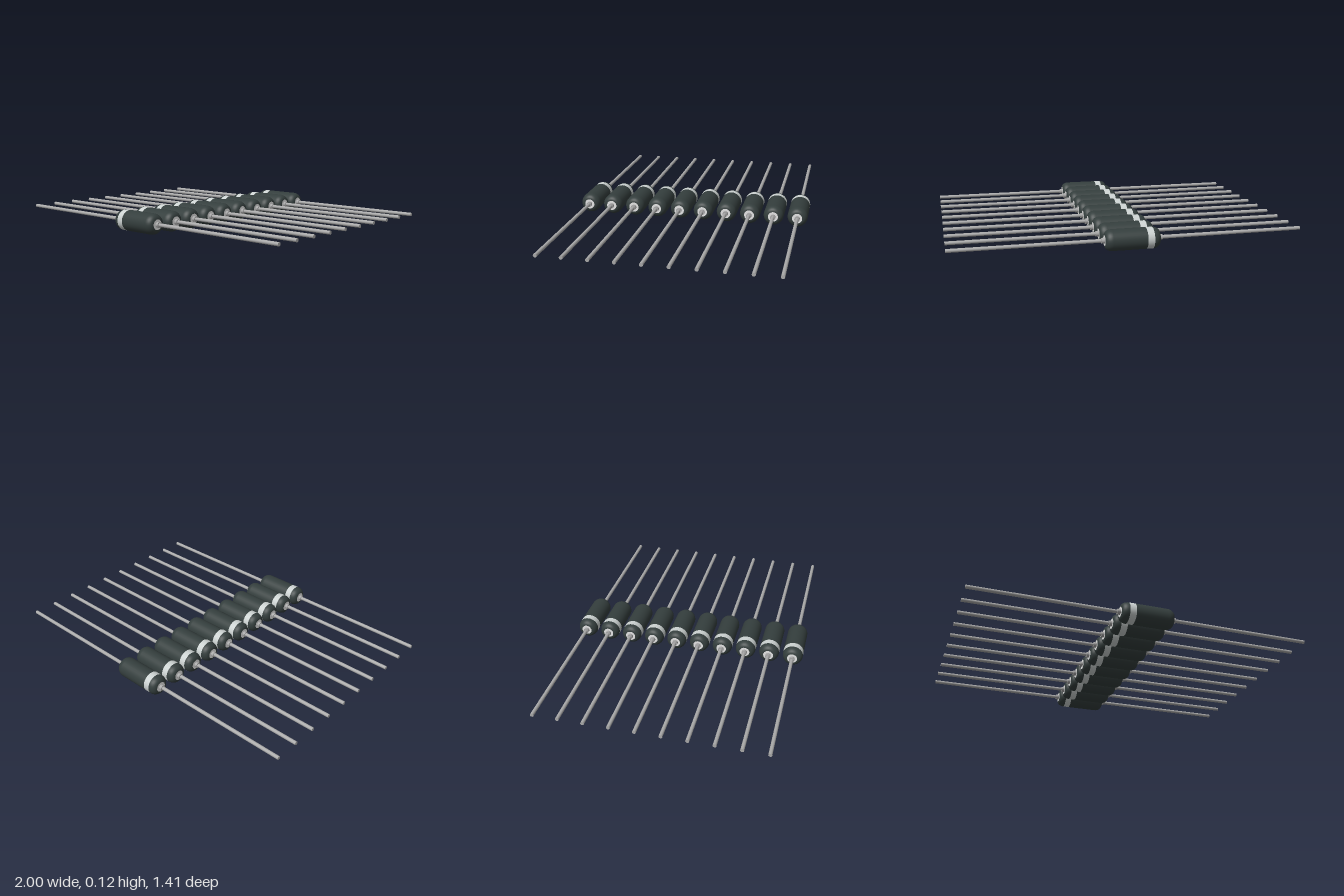
import * as THREE from 'three';

export function createModel() {
  const mat = (name, color) => {
    const m = new THREE.MeshStandardMaterial({ color });
    m.name = name;
    return m;
  };
  const black = mat('charcoal body', 0x343e3d);
  const silver = mat('band silver', 0xccd2d1);
  const metal = mat('lead metal', 0xa9a9a9);
  const white = mat('seal white', 0xfafafa);

  const R = 0.06, HALF = 0.155, SHOULDER = 0.115, BAND = 0.077;
  const COUNT = 10, PITCH = 0.1436;

  // Lathe around the x axis from [radius, x] points
  const lathe = (points) => {
    const g = new THREE.LatheGeometry(points.map(([r, x]) => new THREE.Vector2(r, x)), 32);
    return g.rotateZ(-Math.PI / 2);
  };

  // Rounded shoulder from the seal (x = HALF) out to the full radius
  const shoulder = [];
  for (let i = 0; i <= 8; i++) {
    const a = (i / 8) * Math.PI / 2;
    shoulder.push([0.03 + (R - 0.03) * Math.sin(a), SHOULDER + (HALF - SHOULDER) * Math.cos(a)]);
  }

  const bodyGeo = lathe([[R, -BAND], ...shoulder.slice().reverse()]);
  const capGeo = lathe(shoulder.map(([r, x]) => [r, -x]));
  const bandGeo = lathe([[R, -SHOULDER], [R, -BAND]]);
  const sealGeo = lathe([[0.03, HALF], [0.001, HALF]]);
  const collarGeo = lathe([[0.016, 0.15], [0.016, 0.172]]);
  const collarFaceGeo = lathe([[0.016, 0.172], [0.008, 0.172]]);
  const leadGeo = lathe([[0.0105, HALF], [0.0105, 1]]);
  const tipGeo = lathe([[0.0105, 1], [0, 1]]);

  const model = new THREE.Group();
  model.name = 'diodeRow';
  for (let i = 0; i < COUNT; i++) {
    const diode = new THREE.Group();
    diode.name = 'diode' + (i + 1);
    diode.position.set(0, R, (i - (COUNT - 1) / 2) * PITCH);
    const add = (parent, name, geo, material) => {
      const mesh = new THREE.Mesh(geo, material);
      mesh.name = name;
      parent.add(mesh);
    };
    add(diode, 'body', bodyGeo, black);
    add(diode, 'bandEndCap', capGeo, black);
    add(diode, 'polarityBand', bandGeo, silver);

    // Seal, collar and wire at each end
    for (const side of ['left', 'right']) {
      const end = new THREE.Group();
      end.name = side + 'End';
      if (side === 'right') end.rotation.y = Math.PI;
      add(end, 'seal', sealGeo, white);
      add(end, 'collar', collarGeo, metal);
      add(end, 'collarFace', collarFaceGeo, metal);
      add(end, 'lead', leadGeo, metal);
      add(end, 'leadTip', tipGeo, metal);
      diode.add(end);
    }
    model.add(diode);
  }
  return model;
}
